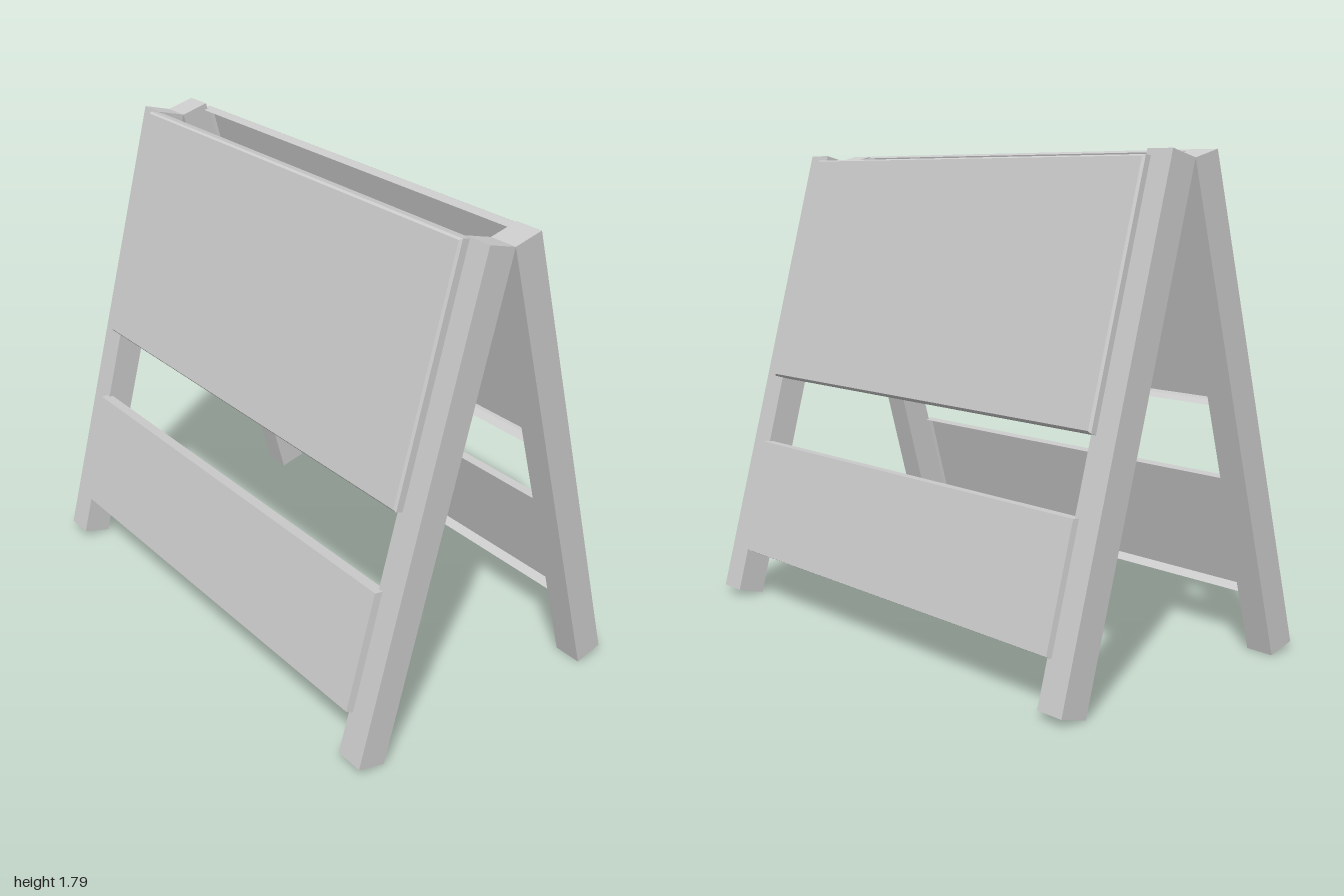
import * as THREE from 'three';

const APEX = 1.76;             // height of the hinge line
const TILT = Math.PI / 12;     // splay of each side
const LEG = { width: 0.112, depth: 0.11, length: 1.822 };
const BOARD_HALF_WIDTH = 0.912;

const material = new THREE.MeshStandardMaterial({ color: 0xcccccc, flatShading: true, side: THREE.DoubleSide });

// Square tube leg, capped at the top and open at the foot
function makeLeg(z) {
  const geometry = new THREE.BoxGeometry(LEG.width, LEG.length, LEG.depth);
  const index = Array.from(geometry.index.array);
  index.splice(18, 6); // drop the bottom face
  geometry.setIndex(index);
  geometry.clearGroups();
  const leg = new THREE.Mesh(geometry, material);
  leg.name = z > 0 ? 'frontLeg' : 'backLeg';
  leg.position.set(LEG.width / 2, -LEG.length / 2, z);
  return leg;
}

// Open-backed tray spanning from..to down the leg.
// Each profile entry is [distance outwards, inset of the rectangle], from the rim to the face.
function makeBoard(name, from, to, profile) {
  const positions = [];
  const indices = [];
  profile.forEach(([x, inset], ring) => {
    const top = -from - inset;
    const bottom = -to + inset;
    const z = BOARD_HALF_WIDTH - inset;
    positions.push(x, bottom, z, x, bottom, -z, x, top, -z, x, top, z);
    if (ring === 0) return;
    for (let i = 0; i < 4; i++) {
      const j = (i + 1) % 4;
      const a = ring * 4 - 4;
      const b = ring * 4;
      indices.push(a + i, a + j, b + j, a + i, b + j, b + i);
    }
  });
  const face = (profile.length - 1) * 4;
  indices.push(face, face + 1, face + 2, face, face + 2, face + 3);

  const indexed = new THREE.BufferGeometry();
  indexed.setAttribute('position', new THREE.Float32BufferAttribute(positions, 3));
  indexed.setIndex(indices);
  const geometry = indexed.toNonIndexed();
  geometry.computeVertexNormals();
  const board = new THREE.Mesh(geometry, material);
  board.name = name;
  return board;
}

// One leaning frame: two legs with a tall board above a narrow one
function makeSide(name, turn, upper, lower) {
  const side = new THREE.Group();
  side.name = name;
  side.position.y = APEX;
  side.rotation.set(0, turn, TILT);
  const legZ = 1 - LEG.depth / 2;
  side.add(makeLeg(legZ), makeLeg(-legZ));
  side.add(makeBoard('upperBoard', ...upper), makeBoard('lowerBoard', ...lower));
  return side;
}

export function createModel() {
  const model = new THREE.Group();
  model.name = 'foldingBarricade';
  model.add(
    makeSide('leftSide', 0,
      [0.023, 0.934, [[0.097, 0], [0.134, 0.002], [0.143, 0.009]]],
      [1.198, 1.657, [[0.096, 0], [0.133, 0.008]]]),
    makeSide('rightSide', Math.PI,
      [0.004, 0.916, [[0.1, 0], [0.139, 0.002], [0.148, 0.009]]],
      [1.198, 1.657, [[0.097, 0], [0.139, 0.008]]]),
  );
  return model;
}
